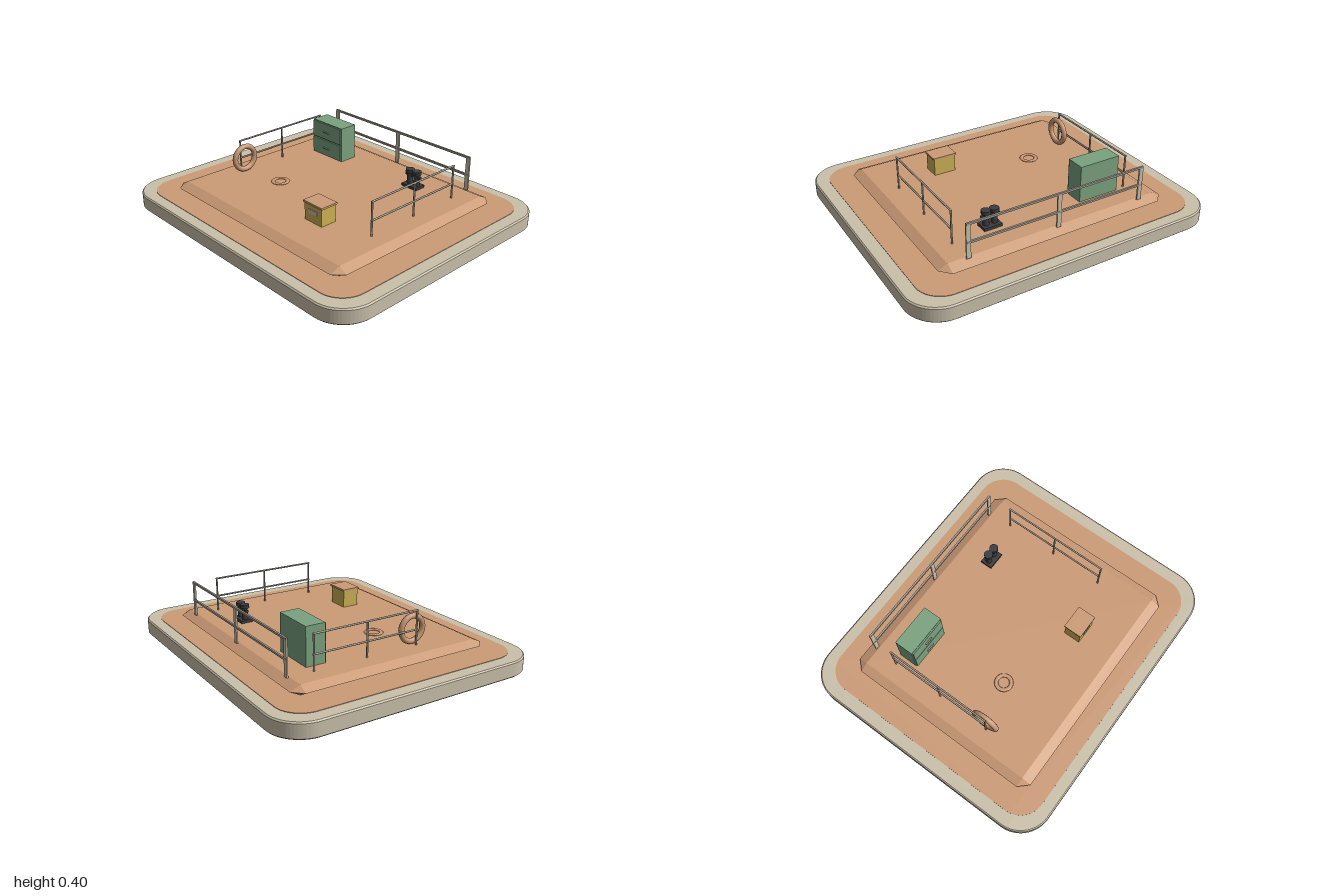
import * as THREE from 'three';
import { ConvexGeometry } from 'three/addons/geometries/ConvexGeometry.js';

const mat = (name, color) => {
  const m = new THREE.MeshStandardMaterial({ color });
  m.name = name;
  return m;
};

// Slab with rounded corners, lying flat between y0 and y1
function roundedSlab(hx, hz, r, y0, y1, bevel) {
  const x = hx - bevel, z = hz - bevel, s = new THREE.Shape();
  s.moveTo(-x + r, -z);
  s.lineTo(x - r, -z);
  s.absarc(x - r, -z + r, r, -Math.PI / 2, 0);
  s.absarc(x - r, z - r, r, 0, Math.PI / 2);
  s.absarc(-x + r, z - r, r, Math.PI / 2, Math.PI);
  s.absarc(-x + r, -z + r, r, Math.PI, Math.PI * 1.5);
  const g = new THREE.ExtrudeGeometry(s, {
    depth: y1 - y0 - 2 * bevel, curveSegments: 8, bevelEnabled: bevel > 0,
    bevelSize: bevel, bevelThickness: bevel, bevelSegments: 1,
  });
  g.rotateX(-Math.PI / 2);
  g.translate(0, y0 + bevel, 0);
  return g;
}

export function createModel() {
  const root = new THREE.Group();
  root.name = 'platform';
  const stone = mat('pale stone', 0xcbc1ab);
  const clay = mat('clay orange', 0xcc9b76);
  const green = mat('cabinet green', 0x7ba37f);
  const yellow = mat('box yellow', 0xcbb155);
  const dark = mat('dark iron', 0x3c3d40);
  const metal = mat('rail grey', 0xa39d90);

  const add = (parent, name, geo, material, x = 0, y = 0, z = 0) => {
    const m = new THREE.Mesh(geo, material);
    m.name = name;
    m.position.set(x, y, z);
    parent.add(m);
    return m;
  };
  const box = (parent, name, material, w, h, d, x, y, z) =>
    add(parent, name, new THREE.BoxGeometry(w, h, d), material, x, y, z);
  const group = (name) => {
    const g = new THREE.Group();
    g.name = name;
    root.add(g);
    return g;
  };

  // Base slab and its inlaid floor
  add(root, 'baseSlab', roundedSlab(1, 0.862, 0.2, 0, 0.099, 0.008), stone);
  add(root, 'floorInlay', roundedSlab(0.915, 0.785, 0.16, 0.096, 0.102, 0), clay);

  // Raised deck: wide octagonal waist between two smaller rectangles
  const pts = [];
  for (const sx of [-1, 1]) for (const sz of [-1, 1]) {
    for (const y of [0.1, 0.16]) pts.push(new THREE.Vector3(sx * 0.71, y, sz * 0.603));
    pts.push(new THREE.Vector3(sx * 0.767, 0.13, sz * 0.603));
    pts.push(new THREE.Vector3(sx * 0.708, 0.13, sz * 0.665));
  }
  add(root, 'raisedDeck', new ConvexGeometry(pts), clay);

  // Side railings with round bars
  for (const side of [-1, 1]) {
    const g = group(side > 0 ? 'leftRailing' : 'rightRailing');
    for (const z of [-0.452, -0.1, 0.252])
      add(g, 'railPost', new THREE.CylinderGeometry(0.006, 0.006, 0.22, 8), metal, side * 0.602, 0.267, z);
    for (const y of [0.257, 0.376]) {
      const bar = new THREE.CylinderGeometry(0.006, 0.006, 0.716, 8).rotateX(Math.PI / 2);
      add(g, 'railBar', bar, metal, side * 0.602, y, -0.1);
    }
  }

  // Back railing with flat posts
  const back = group('backRailing');
  for (const x of [-0.588, 0, 0.588])
    box(back, 'flatPost', stone, 0.028, 0.218, 0.01, x, 0.267, -0.617);
  for (const y of [0.26, 0.378])
    box(back, 'flatBar', metal, 1.2, 0.013, 0.012, 0, y, -0.617);

  // Two-drawer cabinet
  const cab = group('cabinet');
  box(cab, 'cabinetBody', green, 0.28, 0.24, 0.125, -0.4, 0.279, -0.402);
  for (const y of [0.22, 0.338]) {
    box(cab, 'drawerFront', green, 0.268, 0.11, 0.009, -0.4, y, -0.335);
    box(cab, 'drawerHandle', metal, 0.055, 0.009, 0.009, -0.402, y - 0.003, -0.327);
  }

  // Storage box with lid and label plate
  const crate = group('storageBox');
  box(crate, 'boxBody', yellow, 0.146, 0.112, 0.11, 0.265, 0.216, 0.333);
  box(crate, 'boxLid', clay, 0.16, 0.012, 0.122, 0.265, 0.278, 0.333);
  box(crate, 'boxLabel', stone, 0.068, 0.026, 0.006, 0.265, 0.228, 0.389);

  // Twin mooring post
  const bitts = group('mooringPosts');
  box(bitts, 'postBase', dark, 0.12, 0.018, 0.08, 0.33, 0.169, -0.405);
  for (const x of [0.302, 0.358]) {
    add(bitts, 'mooringPost', new THREE.CylinderGeometry(0.018, 0.02, 0.08, 12), dark, x, 0.215, -0.405);
    add(bitts, 'postCap', new THREE.CylinderGeometry(0.029, 0.029, 0.022, 12), dark, x, 0.263, -0.405);
  }
  box(bitts, 'crossBar', dark, 0.12, 0.014, 0.018, 0.33, 0.235, -0.405);

  // Ring hung on the right railing and coil on the deck
  const ring = new THREE.TorusGeometry(0.078, 0.018, 8, 28).rotateY(Math.PI / 2);
  add(root, 'hangingRing', ring, clay, -0.58, 0.26, 0.235);
  const coil = new THREE.TorusGeometry(0.047, 0.013, 8, 28).rotateX(Math.PI / 2).scale(1, 0.5, 1);
  add(root, 'deckCoil', coil, clay, -0.302, 0.162, 0.165);

  return root;
}
